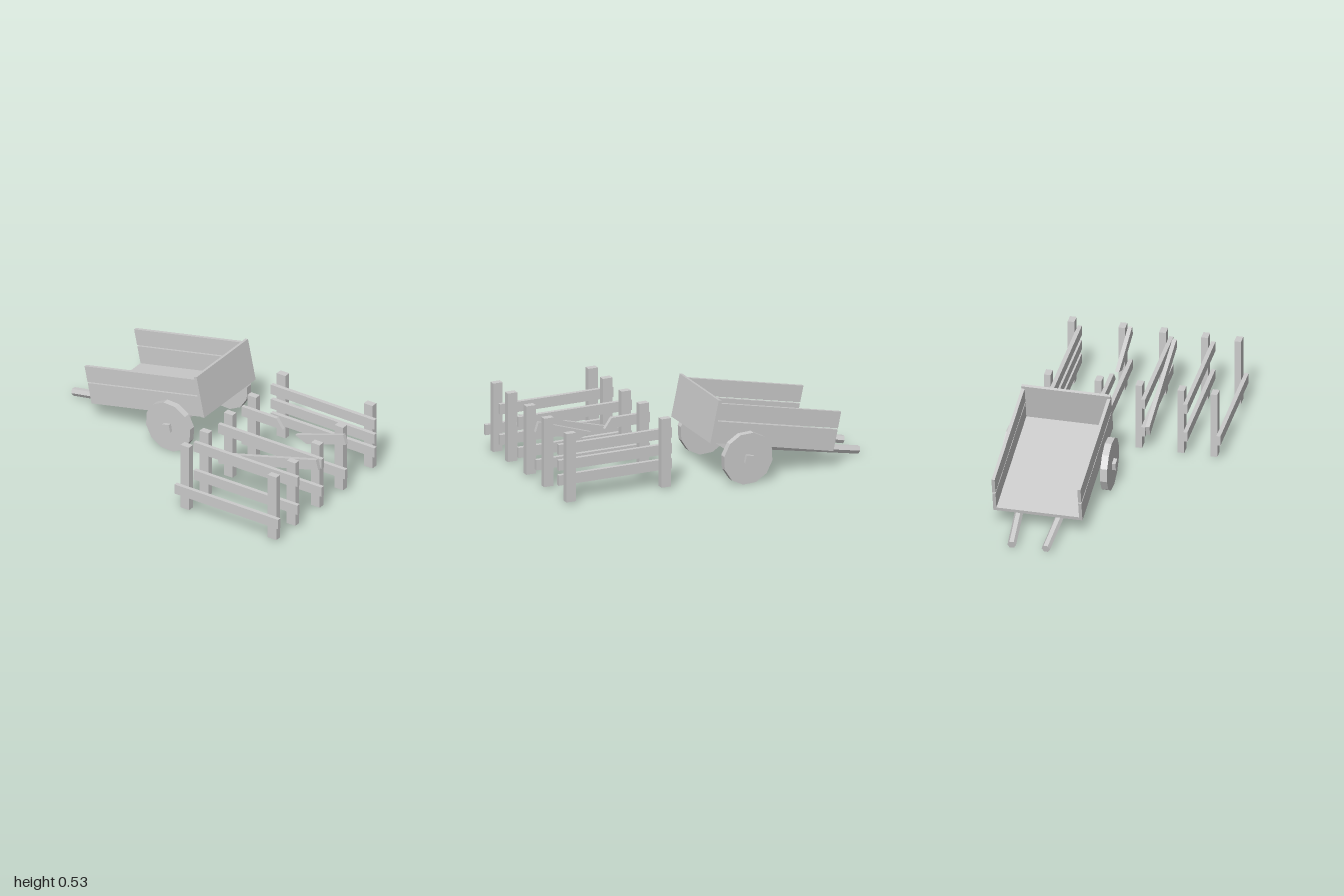
import * as THREE from 'three';

const material = new THREE.MeshStandardMaterial({ color: 0xcccccc, flatShading: true });

function add(parent, name, geometry, x = 0, y = 0, z = 0) {
  const mesh = new THREE.Mesh(geometry, material);
  mesh.name = name;
  mesh.position.set(x, y, z);
  parent.add(mesh);
  return mesh;
}

// Box given by its limits on each axis
function slab(parent, name, [x0, x1], [y0, y1], [z0, z1]) {
  return add(parent, name, new THREE.BoxGeometry(x1 - x0, y1 - y0, z1 - z0),
    (x0 + x1) / 2, (y0 + y1) / 2, (z0 + z1) / 2);
}

// Plank with a free outline in the x-y plane
function brokenPlank(parent, name, points, z, depth) {
  const shape = new THREE.Shape(points.map(([x, y]) => new THREE.Vector2(x, y)));
  return add(parent, name, new THREE.ExtrudeGeometry(shape, { depth, bevelEnabled: false }), 0, 0, z);
}

// Cart in its own frame: origin on the axle, x towards the closed end
function createCart() {
  const cart = new THREE.Group();
  cart.name = 'cart';
  const half = 0.272;

  slab(cart, 'floor', [-0.583, 0.224], [0.068, 0.09], [-half, half]);
  slab(cart, 'endBoard', [0.224, 0.244], [0.064, 0.331], [-half, half]);
  slab(cart, 'axle', [-0.025, 0.025], [-0.025, 0.025], [-0.345, 0.345]);

  for (const side of [-1, 1]) {
    // Two side planks with a narrow gap
    const zs = [side * half, side * (half - 0.02)].sort((a, b) => a - b);
    slab(cart, 'lowerSidePlank', [-0.583, 0.224], [0.09, 0.202], zs);
    slab(cart, 'upperSidePlank', [-0.583, 0.235], [0.21, 0.313], zs);

    const wheel = add(cart, 'wheel', new THREE.CylinderGeometry(0.162, 0.162, 0.042, 12), 0, 0, side * 0.302);
    wheel.rotation.set(Math.PI / 2, Math.PI / 2, 0, 'XYZ');

    // Six-sided handle, closing in towards the grip
    const from = new THREE.Vector3(-0.835, 0.042, side * 0.104);
    const to = new THREE.Vector3(0.034, 0.042, side * 0.164);
    const geometry = new THREE.CylinderGeometry(0.026, 0.026, from.distanceTo(to), 6);
    geometry.rotateX(Math.PI / 2);
    geometry.rotateZ(Math.PI / 2);
    const handle = add(cart, 'handle', geometry);
    handle.position.copy(from).add(to).multiplyScalar(0.5);
    handle.lookAt(to);
  }

  cart.position.set(-0.175, 0.165, -0.268);
  cart.rotation.z = THREE.MathUtils.degToRad(12);
  return cart;
}

const LOW = [0.117, 0.181], MID = [0.211, 0.275], HIGH = [0.31, 0.374];
const RAIL_DEPTH = 0.025;

// Fence section: z = 0 is where the rails meet the posts
function createFence(name, z, rails) {
  const fence = new THREE.Group();
  fence.name = name;
  for (const x of [0.307, 0.933]) {
    slab(fence, 'post', [x - 0.031, x + 0.031], [0.02, 0.45], [-0.041, 0]);
  }
  for (const rail of rails) slab(fence, 'rail', [0.25, 0.995], rail, [0, RAIL_DEPTH]);
  fence.position.z = z;
  return fence;
}

export function createModel() {
  const model = new THREE.Group();
  model.name = 'cartAndFences';
  model.add(createCart());

  model.add(createFence('threeRailFence', -0.43, [LOW, MID, HIGH]));

  // Top rail snapped in two, the right half tilted up
  const broken = createFence('brokenFence', -0.12, [LOW]);
  brokenPlank(broken, 'brokenRailLeft',
    [[0.25, 0.31], [0.545, 0.31], [0.5, 0.374], [0.25, 0.374]], 0, RAIL_DEPTH);
  brokenPlank(broken, 'brokenRailRight',
    [[0.72, 0.27], [1.0, 0.357], [0.98, 0.418], [0.635, 0.305]], 0, RAIL_DEPTH);
  model.add(broken);

  // Diagonal brace in front of two rails
  const braced = createFence('bracedFence', 0.128, [LOW, HIGH]);
  const brace = add(braced, 'brace', new THREE.BoxGeometry(0.74, 0.065, RAIL_DEPTH), 0.622, 0.247, RAIL_DEPTH * 1.5);
  brace.rotation.z = THREE.MathUtils.degToRad(15);
  model.add(braced);

  model.add(createFence('twoRailFence', 0.385, [LOW, HIGH]));
  model.add(createFence('oneRailFence', 0.587, [LOW]));
  return model;
}
